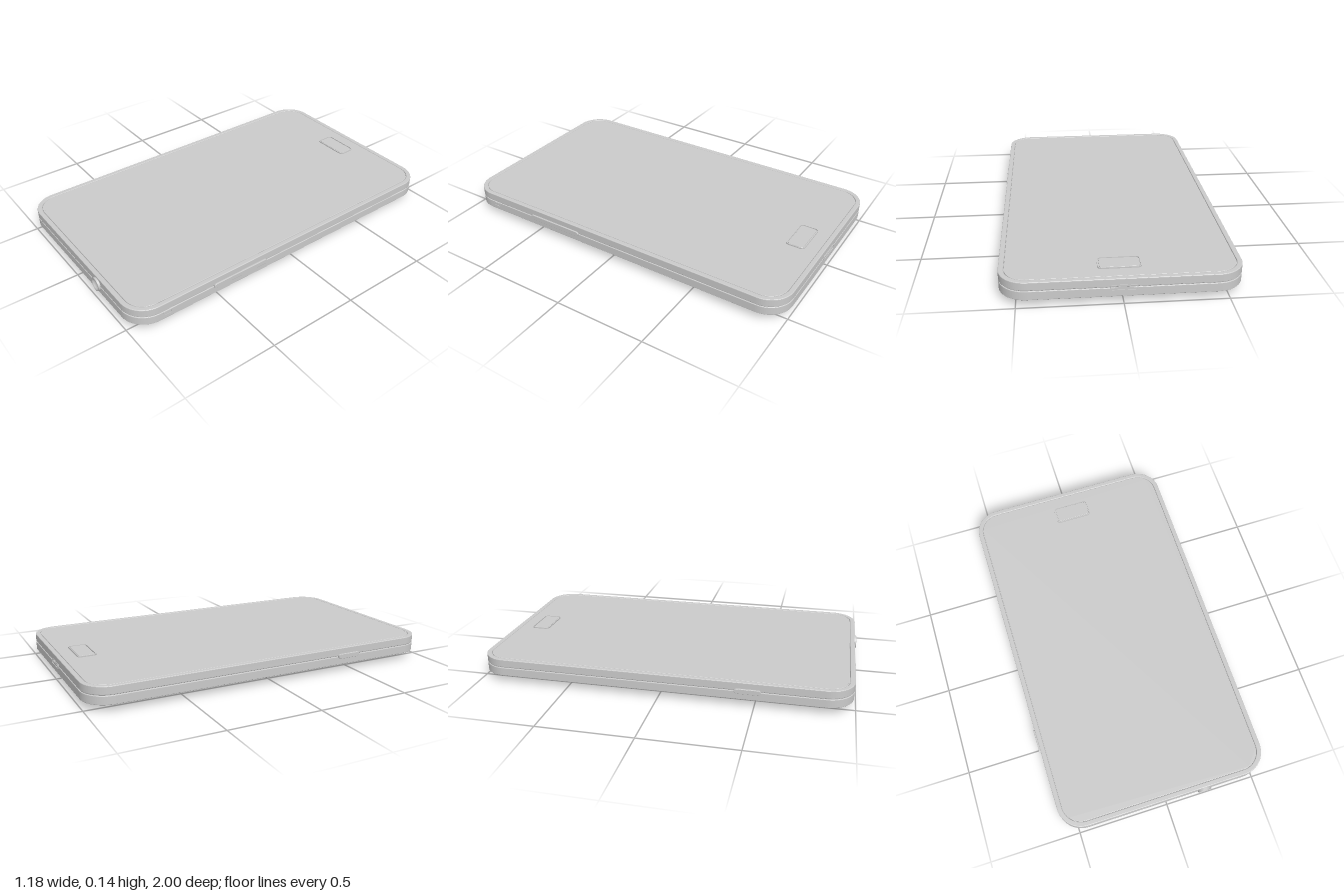
import * as THREE from 'three';

const HALF_W = 0.58, HALF_L = 0.993, CZ = -0.004, CORNER = 0.135;

export function createModel() {
  const root = new THREE.Group();
  const grey = new THREE.MeshStandardMaterial({ color: 0xcccccc });
  const greyThin = new THREE.MeshStandardMaterial({ color: 0xcccccc, side: THREE.DoubleSide });

  const add = (name, geometry, material = grey) => {
    const mesh = new THREE.Mesh(geometry, material);
    mesh.name = name;
    root.add(mesh);
    return mesh;
  };

  // Rounded rectangle centred on the origin
  const roundRect = (w, l, r, Type = THREE.Shape) => {
    const s = new Type(), x = w / 2, y = l / 2;
    s.moveTo(-x + r, -y);
    s.lineTo(x - r, -y);
    s.absarc(x - r, -y + r, r, -Math.PI / 2, 0);
    s.lineTo(x, y - r);
    s.absarc(x - r, y - r, r, 0, Math.PI / 2);
    s.lineTo(-x + r, y);
    s.absarc(-x + r, y - r, r, Math.PI / 2, Math.PI);
    s.lineTo(-x, -y + r);
    s.absarc(-x + r, -y + r, r, Math.PI, Math.PI * 1.5);
    return s;
  };

  // Rounded plate of a given thickness, bevelled inward, optionally a ring of given wall
  const plate = (w, l, r, thick, bevel = 0, wall = 0) => {
    const s = roundRect(w - 2 * bevel, l - 2 * bevel, r - bevel);
    if (wall) s.holes.push(roundRect(w - 2 * wall, l - 2 * wall, r - wall, THREE.Path));
    const g = new THREE.ExtrudeGeometry(s, {
      depth: thick - 2 * bevel, curveSegments: 12,
      bevelEnabled: bevel > 0, bevelSize: bevel, bevelThickness: bevel, bevelSegments: 3,
    });
    return g.translate(0, 0, bevel);
  };
  const flat = (g, y, x = 0, z = CZ) => g.rotateX(-Math.PI / 2).translate(x, y, z);
  const W = HALF_W * 2, L = HALF_L * 2;

  // Shell: lower half, seam core, upper rim and inset glass
  add('lowerShell', flat(plate(W, L, CORNER, 0.046, 0.003), 0.039));
  add('seamCore', flat(plate(W - 0.01, L - 0.01, CORNER - 0.005, 0.03), 0.075));
  add('upperRim', flat(plate(W, L, CORNER, 0.044, 0.004, 0.022), 0.088));
  add('screenBed', flat(plate(W - 0.03, L - 0.03, CORNER - 0.015, 0.02), 0.104));
  add('screenGlass', flat(plate(W - 0.056, L - 0.056, CORNER - 0.028, 0.012, 0.002), 0.119));

  // Home button in a thin surround
  add('homeButtonSurround', flat(plate(0.21, 0.104, 0.02, 0.007, 0, 0.005), 0.13, 0.01, -0.85));
  add('homeButton', flat(plate(0.192, 0.086, 0.013, 0.007, 0.0015), 0.129, 0.01, -0.85));

  // Small sensor slits near the front edge
  for (let i = 0; i < 3; i++)
    add('sensorSlit', new THREE.BoxGeometry(0.012, 0.002, 0.005).translate(-0.5 + i * 0.02, 0.131, 0.948 + i * 0.003));

  // Back cover: shallow plate with a wide hump toward one end
  const profile = [[-1.0, 0.001], [-0.95, 0.008], [-0.88, 0.018], [-0.81, 0.028], [-0.77, 0.033],
    [-0.73, 0.035], [-0.69, 0.032], [-0.64, 0.021], [-0.58, 0.008], [-0.5, 0.003], [-0.4, 0], [1, 0]];
  const hump = (z) => {
    if (z <= -1) return 0.001;
    const i = Math.min(profile.findIndex((p) => p[0] >= z), profile.length - 1);
    if (i < 1) return profile[0][1];
    const [a, b] = [profile[i - 1], profile[i]];
    return THREE.MathUtils.mapLinear(z, a[0], b[0], a[1], b[1]);
  };
  const backY = (u, x, z, w) => {
    const edge = Math.min(w - Math.abs(x), HALF_L - Math.abs(z - CZ));
    return 0.041 - 0.006 * Math.min(1, edge / 0.04) - hump(z) * (1 - Math.abs(u) ** 6);
  };
  const back = new THREE.PlaneGeometry(2, 2, 48, 120).rotateX(Math.PI / 2);
  const pos = back.attributes.position;
  for (let i = 0; i < pos.count; i++) {
    const u = Math.sin(pos.getX(i) * Math.PI / 2);
    const lz = Math.sin(pos.getZ(i) * Math.PI / 2) * HALF_L;
    const over = Math.max(0, Math.abs(lz) - (HALF_L - CORNER));
    const w = HALF_W - 0.003 - CORNER + Math.sqrt(Math.max(0, CORNER ** 2 - over ** 2));
    pos.setXYZ(i, u * w, backY(u, u * w, lz + CZ, w), lz + CZ);
  }
  back.computeVertexNormals();
  add('backCover', back, greyThin);

  // Camera: stepped square plate on the back with a lens window
  add('cameraPlate', flat(plate(0.35, 0.3, 0.025, 0.008, 0.003), 0.031, -0.02, 0.58));
  add('cameraBezel', flat(plate(0.25, 0.23, 0.02, 0.006, 0, 0.008), 0.028, -0.02, 0.58));
  add('cameraWindow', flat(plate(0.22, 0.2, 0.015, 0.006, 0.001), 0.0285, -0.02, 0.58));
  add('cameraMarkLong', new THREE.BoxGeometry(0.008, 0.002, 0.08).translate(-0.02, 0.028, 0.58));
  add('cameraMarkShort', new THREE.BoxGeometry(0.05, 0.002, 0.008).translate(0.001, 0.028, 0.616));

  // Speaker slots on the hump
  for (const z of [-0.85, -0.81]) {
    const slot = add('speakerSlot', plate(0.1, 0.022, 0.01, 0.006, 0, 0.004));
    slot.rotation.x = Math.PI / 2;
    slot.position.set(0.29, backY(0.5, 0.29, z, HALF_W) + 0.004, z);
  }

  // Headphone socket: proud ring around a shallow bowl
  const socket = [[0, -0.004], [0.012, -0.0035], [0.022, -0.001], [0.028, 0.004], [0.031, 0.008],
    [0.036, 0.008], [0.037, 0.006], [0.037, -0.006]].map(([r, y]) => new THREE.Vector2(r, y));
  add('headphoneSocket', new THREE.LatheGeometry(socket, 32).rotateX(Math.PI / 2).translate(0.213, 0.086, 0.993), greyThin);

  // Side keys: long rocker on the left, short key on the right
  const sideKey = (name, side, len, z, height, proud) =>
    add(name, plate(len, height, height / 2 - 0.001, 0.03, 0.002)
      .rotateY(side * Math.PI / 2).translate(side * (HALF_W + proud - 0.03), 0.086, z));
  sideKey('volumeRocker', 1, 0.335, 0.37, 0.026, 0.008);
  sideKey('powerKey', -1, 0.135, 0.465, 0.026, 0.009);

  // Strap slot on the left side and charging port at the back end
  add('strapSlot', plate(0.048, 0.024, 0.004, 0.01, 0, 0.004)
    .rotateY(Math.PI / 2).translate(HALF_W - 0.008, 0.07, 0.81));
  add('chargingPortRim', plate(0.13, 0.03, 0.01, 0.01, 0, 0.004)
    .rotateY(Math.PI).translate(0, 0.085, -0.99));
  add('chargingPortTongue', new THREE.BoxGeometry(0.09, 0.007, 0.01).translate(0, 0.085, -0.994));

  return root;
}
